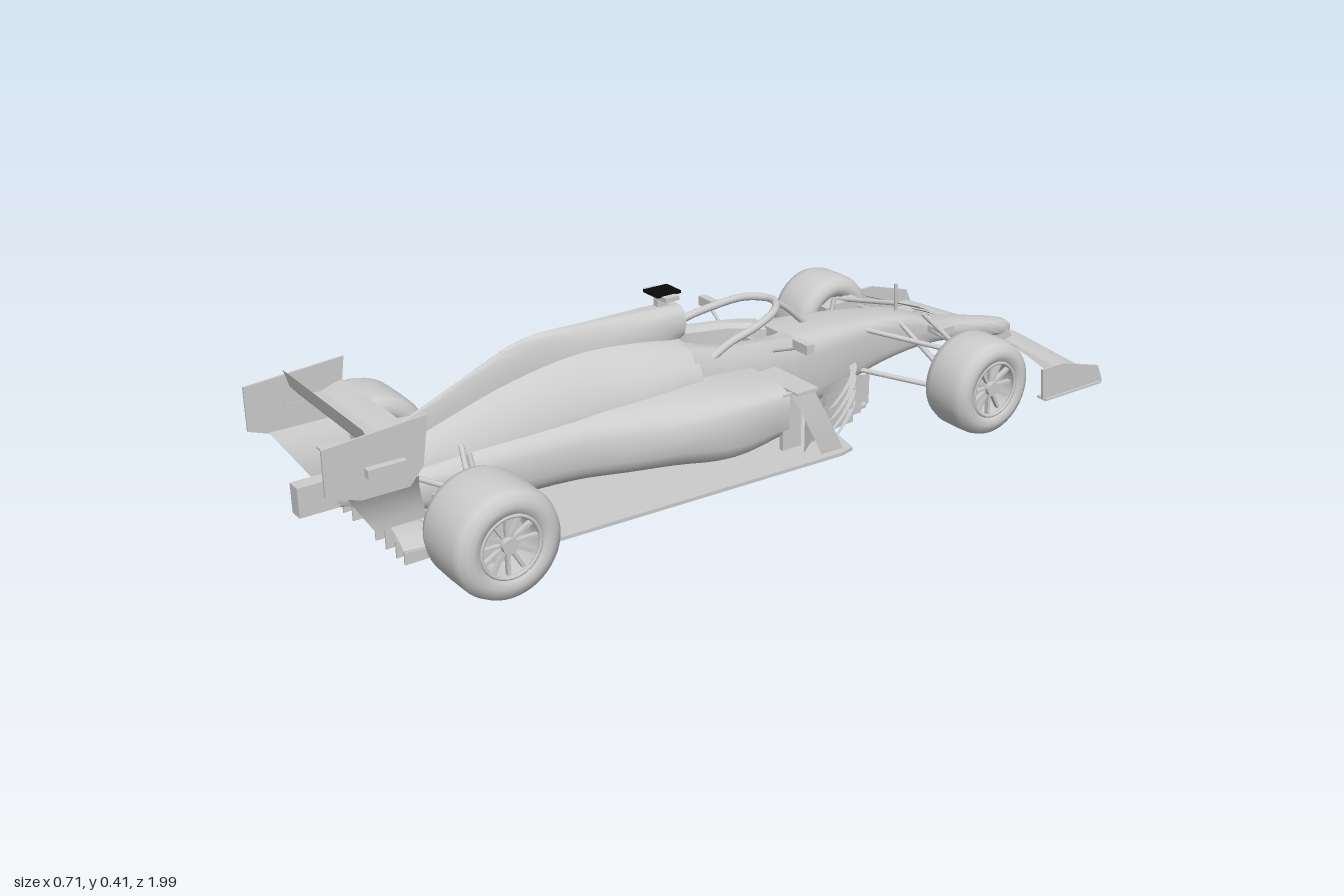
import * as THREE from 'three';
import { toCreasedNormals } from 'three/addons/utils/BufferGeometryUtils.js';

const grey = new THREE.MeshStandardMaterial({ color: 0xcccccc, side: THREE.DoubleSide });
grey.name = 'body grey';
const black = new THREE.MeshStandardMaterial({ color: 0x0a0a0a });
black.name = 'camera black';
const V = (x, y, z) => new THREE.Vector3(x, y, z);

function add(parent, name, geometry, material = grey) {
  const mesh = new THREE.Mesh(geometry, material);
  mesh.name = name;
  parent.add(mesh);
  return mesh;
}

function box(parent, name, w, h, d, x, y, z, material) {
  return add(parent, name, new THREE.BoxGeometry(w, h, d).translate(x, y, z), material);
}

// Skin over closed rings of points, with optional end caps
function loft(rings, capStart = true, capEnd = true) {
  const pos = [], idx = [], n = rings[0].length;
  rings.forEach(r => r.forEach(p => pos.push(p.x, p.y, p.z)));
  for (let i = 0; i < rings.length - 1; i++) {
    for (let j = 0; j < n; j++) {
      const a = i * n + j, b = i * n + (j + 1) % n;
      idx.push(a, b, b + n, a, b + n, a + n);
    }
  }
  const cap = (i, flip) => {
    const c = rings[i].reduce((s, p) => s.add(p), V(0, 0, 0)).divideScalar(n);
    const k = pos.push(c.x, c.y, c.z) / 3 - 1;
    for (let j = 0; j < n; j++) {
      const a = i * n + j, b = i * n + (j + 1) % n;
      idx.push(k, flip ? b : a, flip ? a : b);
    }
  };
  if (capStart) cap(0, true);
  if (capEnd) cap(rings.length - 1, false);
  const g = new THREE.BufferGeometry();
  g.setAttribute('position', new THREE.Float32BufferAttribute(pos, 3));
  g.setIndex(idx);
  return toCreasedNormals(g, 0.7);
}

// Rounded section: [z, half width, bottom, widest height, top, squareness]
function section([z, w, yb, ym, yt, n]) {
  return Array.from({ length: 32 }, (_, i) => {
    const t = i / 32 * Math.PI * 2, c = Math.cos(t), s = Math.sin(t);
    const pw = v => Math.sign(v) * Math.abs(v) ** (2 / n);
    return V(w * pw(c), ym + (s > 0 ? yt - ym : ym - yb) * pw(s), z);
  });
}

// Smooth the stations along the car before skinning
function hull(stations, capStart = true) {
  const rows = [];
  stations.slice(0, -1).forEach((a, i) => {
    const p = stations[Math.max(i - 1, 0)], b = stations[i + 1], q = stations[Math.min(i + 2, stations.length - 1)];
    for (let t = 0; t < 1; t += 0.25) rows.push(a.map((v, k) => {
      if (k === 0) return v + (b[0] - v) * t;
      const m0 = (b[k] - p[k]) / (b[0] - p[0]) * (b[0] - a[0]), m1 = (q[k] - v) / (q[0] - a[0]) * (b[0] - a[0]);
      return v * (2 * t ** 3 - 3 * t * t + 1) + m0 * (t ** 3 - 2 * t * t + t)
        + b[k] * (3 * t * t - 2 * t ** 3) + m1 * (t ** 3 - t * t);
    }));
  });
  rows.push(stations[stations.length - 1]);
  return loft(rows.map(section), capStart);
}

// Side outline in [z, y] pairs, extruded from x0 to x1
function sidePlate(pts, x0, x1) {
  const shape = new THREE.Shape(pts.map(p => new THREE.Vector2(...p)));
  return new THREE.ExtrudeGeometry(shape, { depth: x1 - x0, bevelEnabled: false }).rotateY(-Math.PI / 2).translate(x1, 0, 0);
}

// Open grid surface from a rule f(u, v)
function sheet(nu, nv, f) {
  const g = new THREE.PlaneGeometry(1, 1, nu, nv), p = g.attributes.position;
  const unit = v => Math.min(1, Math.max(0, v + 0.5));
  for (let i = 0; i < p.count; i++) p.setXYZ(i, ...f(unit(p.getX(i)), unit(p.getY(i))));
  g.computeVertexNormals();
  return g;
}

// Strut between two points
function rod(parent, name, a, b, r = 0.006) {
  const A = V(...a), B = V(...b), d = B.clone().sub(A);
  const m = add(parent, name, new THREE.CylinderGeometry(r, r, d.length(), 10));
  m.position.copy(A).add(B).multiplyScalar(0.5);
  m.quaternion.setFromUnitVectors(V(0, 1, 0), d.normalize());
}

const tube = (pts, r) => new THREE.TubeGeometry(new THREE.CatmullRomCurve3(pts.map(p => V(...p))), 40, r, 10);

function wheel(name, R, x0, x1, z) {
  const g = new THREE.Group(), h = (x1 - x0) / 2;
  g.name = name;
  const prof = [[0.066, -h + 0.012], [0.07, -h + 0.003], [0.085, -h], [R - 0.02, -h + 0.004], [R - 0.007, -h + 0.012],
    [R - 0.001, -h + 0.03], [R, 0]].map(p => new THREE.Vector2(...p));
  const full = [...prof, ...prof.slice(0, -1).reverse().map(p => new THREE.Vector2(p.x, -p.y)), prof[0].clone()];
  add(g, 'tyre and rim barrel', new THREE.LatheGeometry(full, 48).rotateZ(-Math.PI / 2));
  const disc = (nm, r, w, x) => add(g, nm, new THREE.CylinderGeometry(r, r, w, 32).rotateZ(Math.PI / 2).translate(x, 0, 0));
  disc('brake drum', 0.052, h * 1.3, -h * 0.3);
  disc('hub', 0.016, 0.03, h - 0.025);
  add(g, 'rim lip', new THREE.TorusGeometry(0.064, 0.004, 8, 40).rotateY(Math.PI / 2).translate(h - 0.008, 0, 0));
  for (let i = 0; i < 12; i++) {
    add(g, 'wheel spoke', new THREE.BoxGeometry(0.01, 0.052, 0.007).translate(h - 0.026, 0.04, 0)).rotation.x = i * Math.PI / 6;
  }
  g.position.set((x0 + x1) / 2, 0.118, z);
  return g;
}

export function createModel() {
  const car = new THREE.Group();
  car.name = 'racingCar';

  // Nose and front chassis
  add(car, 'nose', hull([
    [-0.965, 0.012, 0.075, 0.085, 0.095, 3], [-0.945, 0.025, 0.068, 0.088, 0.11, 3], [-0.85, 0.035, 0.085, 0.11, 0.135, 3],
    [-0.7, 0.045, 0.11, 0.14, 0.168, 3], [-0.58, 0.055, 0.115, 0.165, 0.21, 4], [-0.45, 0.068, 0.1, 0.17, 0.232, 4],
    [-0.3, 0.09, 0.07, 0.16, 0.246, 4], [-0.19, 0.1, 0.06, 0.16, 0.25, 4]]));

  // Cockpit tub: hollow section whose opening widens rearwards
  const tub = [[-0.2, 0.098, 0.25, 0.012], [-0.16, 0.103, 0.257, 0.035], [-0.1, 0.108, 0.265, 0.05], [0, 0.112, 0.275, 0.054],
    [0.06, 0.112, 0.288, 0.045], [0.1, 0.11, 0.295, 0.015]].map(([z, w, y, o]) => {
    const half = [[w * 0.85, 0.06], [w, 0.09], [w, 0.2], [w * 0.93, y - 0.025], [w * 0.78, y], [o + 0.012, y], [o, y - 0.01], [o * 0.9, 0.15]];
    return [...half, ...half.map(([x, yy]) => [-x, yy]).reverse()].map(([x, yy]) => V(x, yy, z));
  });
  add(car, 'cockpit tub', loft(tub, false, false));
  box(car, 'seat back', 0.08, 0.11, 0.02, 0, 0.2, 0.07);
  box(car, 'steering wheel', 0.05, 0.03, 0.008, 0, 0.225, -0.13);

  // Halo
  add(car, 'halo hoop', tube([[0.095, 0.25, 0.075], [0.09, 0.285, 0], [0.082, 0.303, -0.08], [0.055, 0.319, -0.155], [0, 0.322, -0.19],
    [-0.055, 0.319, -0.155], [-0.082, 0.303, -0.08], [-0.09, 0.285, 0], [-0.095, 0.25, 0.075]], 0.009));
  add(car, 'halo pillar', tube([[0, 0.32, -0.19], [0, 0.29, -0.235], [0, 0.235, -0.295]], 0.007));

  // Sidepods sweeping in to the narrow tail
  add(car, 'sidepods', hull([
    [-0.05, 0.245, 0.09, 0.17, 0.222, 5], [0.08, 0.243, 0.06, 0.16, 0.232, 4], [0.2, 0.212, 0.06, 0.15, 0.232, 3],
    [0.3, 0.168, 0.06, 0.14, 0.225, 3], [0.4, 0.128, 0.06, 0.14, 0.215, 3], [0.6, 0.092, 0.06, 0.13, 0.195, 3],
    [0.8, 0.06, 0.09, 0.13, 0.165, 3]], false));
  box(car, 'inlet back wall', 0.46, 0.11, 0.01, 0, 0.155, 0.02);

  // Engine cover, airbox and spine
  add(car, 'engine cover', hull([
    [0.09, 0.125, 0.1, 0.21, 0.3, 2.2], [0.2, 0.125, 0.1, 0.21, 0.325, 1.7], [0.35, 0.1, 0.1, 0.2, 0.33, 1.6],
    [0.5, 0.08, 0.1, 0.18, 0.3, 1.6], [0.65, 0.06, 0.1, 0.16, 0.25, 1.6], [0.8, 0.035, 0.1, 0.14, 0.19, 2]]));
  add(car, 'airbox and spine', hull([
    [0.075, 0.036, 0.293, 0.335, 0.37, 2.5], [0.16, 0.038, 0.25, 0.32, 0.375, 2.3], [0.3, 0.03, 0.2, 0.3, 0.376, 2],
    [0.46, 0.019, 0.2, 0.29, 0.373, 2], [0.6, 0.012, 0.18, 0.25, 0.322, 2], [0.76, 0.006, 0.15, 0.2, 0.255, 2]], false));
  box(car, 'airbox inner wall', 0.05, 0.055, 0.005, 0, 0.333, 0.11);

  // Roof camera
  box(car, 'camera mount', 0.014, 0.03, 0.03, 0, 0.382, 0.115);
  box(car, 'camera bar', 0.086, 0.01, 0.035, 0, 0.398, 0.115);
  box(car, 'camera top', 0.054, 0.006, 0.062, 0, 0.404, 0.112, black);

  // Floor, rising gently to the rear
  const half = [[0.06, -0.42], [0.1, -0.4], [0.12, -0.25], [0.27, -0.21], [0.28, -0.17], [0.28, 0.57], [0.19, 0.6], [0.17, 0.72]];
  const floorShape = new THREE.Shape([...half, ...half.map(([x, z]) => [-x, z]).reverse()].map(p => new THREE.Vector2(...p)));
  add(car, 'floor', new THREE.ExtrudeGeometry(floorShape, { depth: 0.008, bevelEnabled: false })
    .rotateX(Math.PI / 2 - 0.022).translate(0, 0.052, 0));
  add(car, 'plank', sidePlate([[-0.42, 0.026], [0.72, 0.03], [0.72, 0.058], [-0.42, 0.038]], -0.048, 0.048));
  add(car, 'diffuser roof', sheet(16, 6, (u, v) => {
    const x = (u - 0.5) * 0.36;
    return [x, 0.055 + 0.065 * v * (1 - (x / 0.2) ** 4), 0.6 + 0.24 * v];
  }));

  // Rear crash structure, light and wing
  add(car, 'gearbox', hull([[0.6, 0.05, 0.08, 0.14, 0.19, 4], [0.8, 0.03, 0.1, 0.15, 0.195, 4], [0.9, 0.017, 0.125, 0.157, 0.19, 6]]));
  box(car, 'rear light', 0.034, 0.064, 0.085, 0, 0.157, 0.935);
  add(car, 'rear wing main plane', sidePlate([[0.78, 0.302], [0.8, 0.286], [0.83, 0.279], [0.875, 0.292], [0.83, 0.288], [0.8, 0.3]], -0.182, 0.182));
  add(car, 'rear wing flap', sidePlate([[0.862, 0.296], [0.878, 0.294], [0.895, 0.315], [0.905, 0.352], [0.888, 0.322], [0.868, 0.304]], -0.182, 0.182));

  // Front wing, with its arrow-shaped leading edge
  const lead = x => -1 + 0.06 * Math.abs(x) / 0.34;
  const trail = x => -0.87 + 0.12 * Math.min(1, Math.max(0, (x - 0.09) / 0.25)) ** 0.7;
  [0.053, 0.061].forEach((y, k) => add(car, k ? 'front wing top skin' : 'front wing bottom skin', sheet(24, 4, (u, v) => {
    const x = (u - 0.5) * 0.68;
    return [x, y + (k ? 0.006 : -0.002) * Math.sin(Math.PI * v), lead(x) + 0.065 * v];
  })));

  // Everything built once and mirrored
  const side = new THREE.Group();
  side.name = 'sideParts';
  side.add(wheel('rearWheel', 0.117, 0.19, 0.355, 0.7), wheel('frontWheel', 0.115, 0.215, 0.347, -0.575));

  // Front wing flaps and endplate
  for (let k = 0; k < 4; k++) add(side, 'front flap', sheet(14, 3, (u, v) => {
    const x = 0.09 + 0.245 * u, t = (k + v * 0.88) / 4, z0 = lead(x) + 0.055;
    return [x, 0.06 + 0.05 * t ** 1.2 * (0.5 + 0.5 * Math.min(1, u * 3)) + 0.003 * k, z0 + (trail(x) - z0) * t];
  }));
  add(side, 'front endplate', sidePlate([[-0.945, 0.05], [-0.74, 0.05], [-0.73, 0.13], [-0.8, 0.13], [-0.925, 0.095]], 0.336, 0.342));
  box(side, 'endplate foot', 0.03, 0.005, 0.19, 0.332, 0.051, -0.84);
  add(side, 'nose pylon', sidePlate([[-0.965, 0.058], [-0.89, 0.058], [-0.86, 0.1], [-0.94, 0.09]], 0.022, 0.027));
  box(side, 'nose camera pod', 0.045, 0.018, 0.05, 0.068, 0.165, -0.66);

  // Front suspension
  for (const [a, b, r] of [
    [[0.05, 0.205, -0.62], [0.225, 0.175, -0.58]], [[0.06, 0.215, -0.42], [0.225, 0.175, -0.57]],
    [[0.045, 0.125, -0.62], [0.225, 0.075, -0.585]], [[0.06, 0.12, -0.4], [0.225, 0.075, -0.575]],
    [[0.05, 0.205, -0.54], [0.22, 0.085, -0.575]], [[0.05, 0.165, -0.64], [0.225, 0.15, -0.63], 0.005]]) rod(side, 'front suspension arm', a, b, r);
  add(side, 'front brake duct', sidePlate([[-0.65, 0.07], [-0.53, 0.07], [-0.52, 0.17], [-0.62, 0.18]], 0.195, 0.225));

  // Rear suspension and driveshaft
  for (const [a, b, r] of [
    [[0.04, 0.18, 0.62], [0.21, 0.18, 0.69]], [[0.03, 0.185, 0.8], [0.21, 0.18, 0.71]],
    [[0.05, 0.11, 0.55], [0.21, 0.08, 0.69]], [[0.03, 0.11, 0.8], [0.21, 0.08, 0.72]],
    [[0.03, 0.13, 0.7], [0.21, 0.118, 0.7], 0.011], [[0.05, 0.2, 0.64], [0.2, 0.1, 0.69]]]) rod(side, 'rear suspension arm', a, b, r);
  add(side, 'rear brake duct', sidePlate([[0.63, 0.07], [0.78, 0.07], [0.77, 0.18], [0.64, 0.18]], 0.17, 0.2));

  // Rear wing endplate, lower leg, strake and support
  add(side, 'rear endplate', sidePlate([[0.775, 0.352], [0.99, 0.335], [0.99, 0.24], [0.92, 0.215], [0.82, 0.215], [0.79, 0.25]], 0.18, 0.185));
  add(side, 'endplate lower leg', sheet(4, 6, (u, v) =>
    [0.145 + 0.037 * v * v, 0.12 + 0.11 * v, 0.77 + 0.03 * v + (0.11 + 0.04 * v) * u]));
  box(side, 'endplate strake', 0.022, 0.018, 0.08, 0.19, 0.27, 0.87);
  add(side, 'wing support', tube([[0.018, 0.17, 0.78], [0.018, 0.24, 0.79], [0.018, 0.29, 0.82]], 0.005));
  box(side, 'beam wing', 0.14, 0.005, 0.05, 0.075, 0.185, 0.84);
  for (const x of [0.05, 0.095, 0.14, 0.175]) {
    add(side, 'diffuser strake', sidePlate([[0.6, 0.052], [0.84, 0.05], [0.84, 0.115 - x * 0.2], [0.6, 0.06]], x, x + 0.004));
  }

  // Bargeboards and turning vanes ahead of the sidepods
  for (let k = 0; k < 3; k++) add(side, 'bargeboard', sheet(10, 2, (u, v) =>
    [0.085 + 0.03 * k + 0.09 * u * u, 0.035 + (0.075 + 0.045 * u - 0.012 * k) * v, -0.42 + 0.05 * k + 0.22 * u]));
  for (let k = 0; k < 4; k++) add(side, 'slatted vane', sheet(8, 1, (u, v) =>
    [0.09 + 0.165 * u + 0.012 * v, 0.07 + 0.028 * k, -0.37 + 0.2 * u ** 1.3 + 0.03 * v]));
  add(side, 'sidepod vane', sheet(4, 6, (u, v) => [0.262 - 0.012 * v * v, 0.045 + 0.16 * v, -0.19 + 0.08 * v + 0.06 * u]));
  box(side, 'sidepod winglet', 0.15, 0.007, 0.06, 0.18, 0.204, -0.09);
  box(side, 'inlet post', 0.012, 0.13, 0.05, 0.235, 0.14, -0.06);

  // Mirror on its stalk
  box(side, 'mirror', 0.05, 0.022, 0.02, 0.176, 0.273, -0.14);
  rod(side, 'mirror stalk', [0.09, 0.24, -0.12], [0.16, 0.266, -0.135], 0.004);

  const other = side.clone();
  other.name = 'mirroredSideParts';
  other.scale.x = -1;
  car.add(side, other);

  // Airspeed probe on the nose
  rod(car, 'probe', [0, 0.2, -0.575], [0, 0.28, -0.57], 0.004);
  return car;
}
